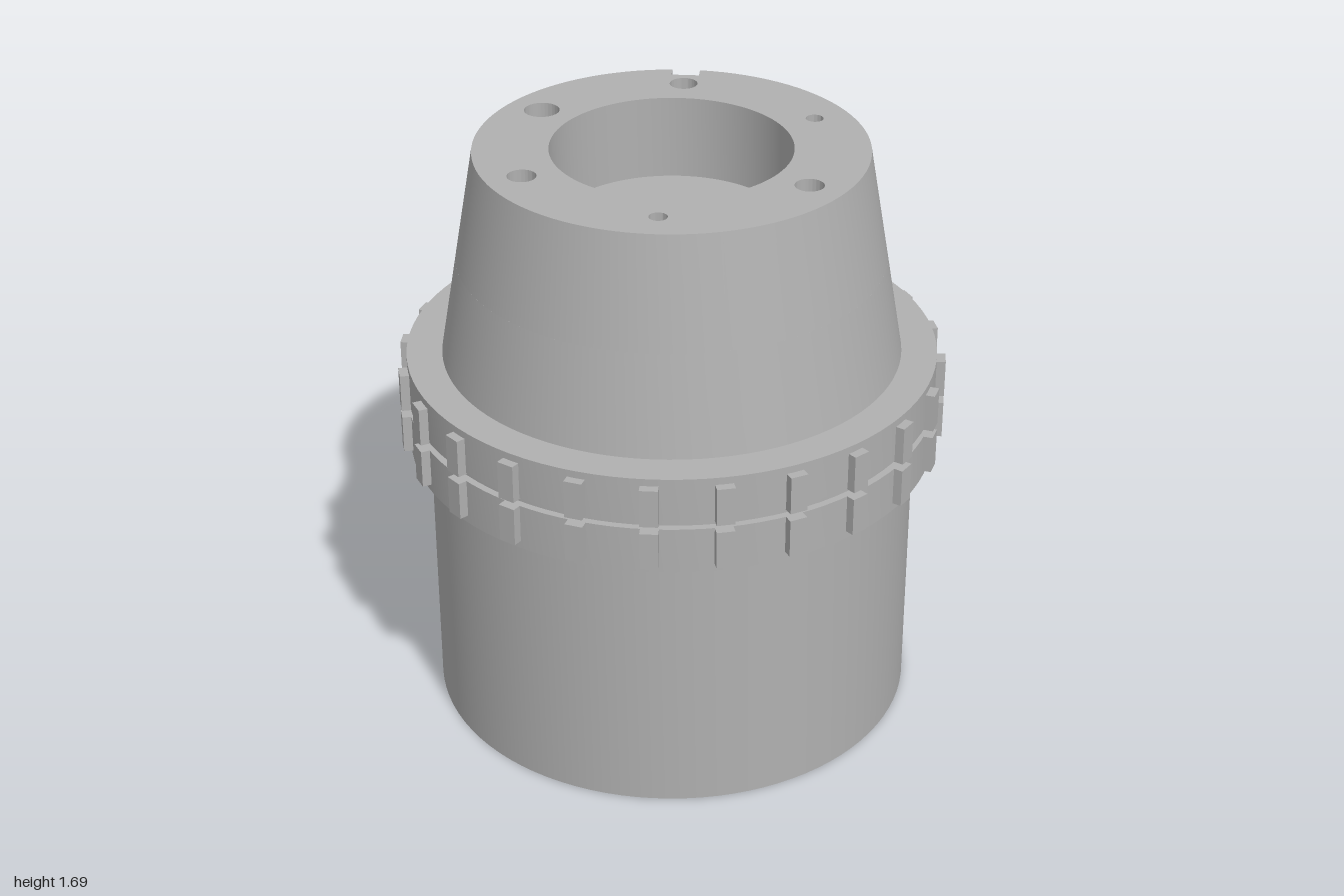
import * as THREE from 'three';
import { toCreasedNormals } from 'three/addons/utils/BufferGeometryUtils.js';

const AXIS_Z = 0.225; // main housing axis
const SEG = 96;
const V = (x, y) => new THREE.Vector2(x, y);

const crease = (g) => toCreasedNormals(g, 0.5);
const lathe = (pts) => new THREE.LatheGeometry(pts.map((p) => V(p[0], p[1])), SEG);

// Extrude a plan outline upward from y0 to y1 (shape y points to the back)
function extrudeUp(shape, y0, y1) {
  const g = new THREE.ExtrudeGeometry(shape, { depth: y1 - y0, bevelEnabled: false, curveSegments: 48 });
  g.rotateX(-Math.PI / 2);
  g.translate(0, y0, 0);
  return g;
}

function circle(x, y, r) {
  const p = new THREE.Path();
  p.absarc(x, y, r, 0, Math.PI * 2, false);
  return p;
}

export function createModel() {
  const model = new THREE.Group();
  const housing = new THREE.Group();
  housing.name = 'housing';
  housing.position.z = AXIS_Z;
  model.add(housing);

  const grey = new THREE.MeshStandardMaterial({ color: 0xb0b0b0 });
  grey.name = 'grey';
  const add = (parent, name, geo) => {
    const m = new THREE.Mesh(geo, grey);
    m.name = name;
    parent.add(m);
    return m;
  };

  // Lower cylinder with an arc-ended slot in its underside
  const base = new THREE.Shape();
  base.absarc(0, 0, 0.695, 0, Math.PI * 2, false);
  const slot = new THREE.Path();
  slot.absarc(0, 0, 0.63, -0.323, 0.323, false);
  slot.absarc(0, 0, 0.4, Math.PI - 0.5236, Math.PI + 0.5236, false);
  slot.closePath();
  base.holes.push(slot);
  add(housing, 'lowerBody', crease(extrudeUp(base, 0, 0.8)));

  // Grooved collar
  add(housing, 'collar', crease(lathe([
    [0, 0.797], [0.75, 0.797], [0.75, 0.93], [0.73, 0.93],
    [0.73, 0.955], [0.75, 0.955], [0.75, 1.083], [0, 1.083],
  ])));

  // Two rows of grip ribs
  const ribs = new THREE.Group();
  ribs.name = 'gripRibs';
  housing.add(ribs);
  const ribGeo = new THREE.BoxGeometry(0.05, 0.11, 0.05);
  for (let i = 0; i < 24; i++) {
    const a = (i / 24) * Math.PI * 2;
    for (const y of [0.875, 1.007]) {
      const rib = add(ribs, 'gripRib', ribGeo);
      rib.position.set(Math.sin(a) * 0.75, y, Math.cos(a) * 0.75);
      rib.rotation.y = a;
    }
  }

  // Lower part of the cone
  const NOTCH_Y = 1.37, TOP_Y = 1.687, R_TOP = 0.545, R_NOTCH = 0.6;
  add(housing, 'lowerCone', crease(lathe([
    [0.65, 1.08], [R_NOTCH, NOTCH_Y], [0, NOTCH_Y],
  ])));

  // Upper part of the cone with rear notch, socket and screw holes
  const top = new THREE.Shape();
  const half = 0.04, notchA = Math.asin(half / R_TOP);
  top.absarc(0, 0, R_TOP, Math.PI / 2 + notchA, Math.PI * 2.5 - notchA, false);
  top.lineTo(half, 0.505);
  top.lineTo(-half, 0.505);
  top.closePath();
  top.holes.push(circle(0, 0, 0.335));
  const screwRadii = [0.04, 0.05, 0.04, 0.025, 0.04, 0.025];
  screwRadii.forEach((r, i) => {
    const a = Math.PI / 2 + (i * Math.PI) / 3;
    top.holes.push(circle(Math.cos(a) * 0.442, Math.sin(a) * 0.442, r));
  });
  const upper = extrudeUp(top, NOTCH_Y, TOP_Y);
  const pos = upper.attributes.position;
  for (let i = 0; i < pos.count; i++) {
    const x = pos.getX(i), z = pos.getZ(i);
    // widen only the outer rim at the lower level
    if (pos.getY(i) > NOTCH_Y + 0.01 || Math.hypot(x, z) < 0.53) continue;
    if (Math.abs(x) < half + 0.001 && z < 0) {
      pos.setZ(i, -Math.sqrt(R_NOTCH ** 2 - x * x));
    } else {
      pos.setX(i, (x * R_NOTCH) / R_TOP);
      pos.setZ(i, (z * R_NOTCH) / R_TOP);
    }
  }
  add(housing, 'upperCone', crease(upper));

  // Floor of the top socket
  const floor = new THREE.CircleGeometry(0.336, SEG);
  floor.rotateX(-Math.PI / 2);
  floor.translate(0, 1.445, 0);
  add(housing, 'socketFloor', floor);

  // Slanted rear spout with three hose rings
  const r = 0.19, R = 0.22, tilt = 0.675;
  const spout = lathe([
    [0, 0], [R, 0], [R, 0.045], [r, 0.045], [r, 0.114], [r, 0.142],
    [R, 0.142], [R, 0.188], [r, 0.188], [r, 0.285], [R, 0.285],
    [R, 0.33], [r, 0.33], [r, 0.82], [0, 0.82],
  ]);
  spout.rotateX(tilt);
  spout.translate(0, 0.029, -0.823);
  // trim flat at ground level, sliding points within their own ring plane
  const sp = spout.attributes.position;
  for (let i = 0; i < sp.count; i++) {
    const y = sp.getY(i);
    if (y >= 0) continue;
    sp.setY(i, 0);
    sp.setZ(i, sp.getZ(i) + y / Math.tan(tilt));
  }
  add(model, 'spout', crease(spout));

  return model;
}
